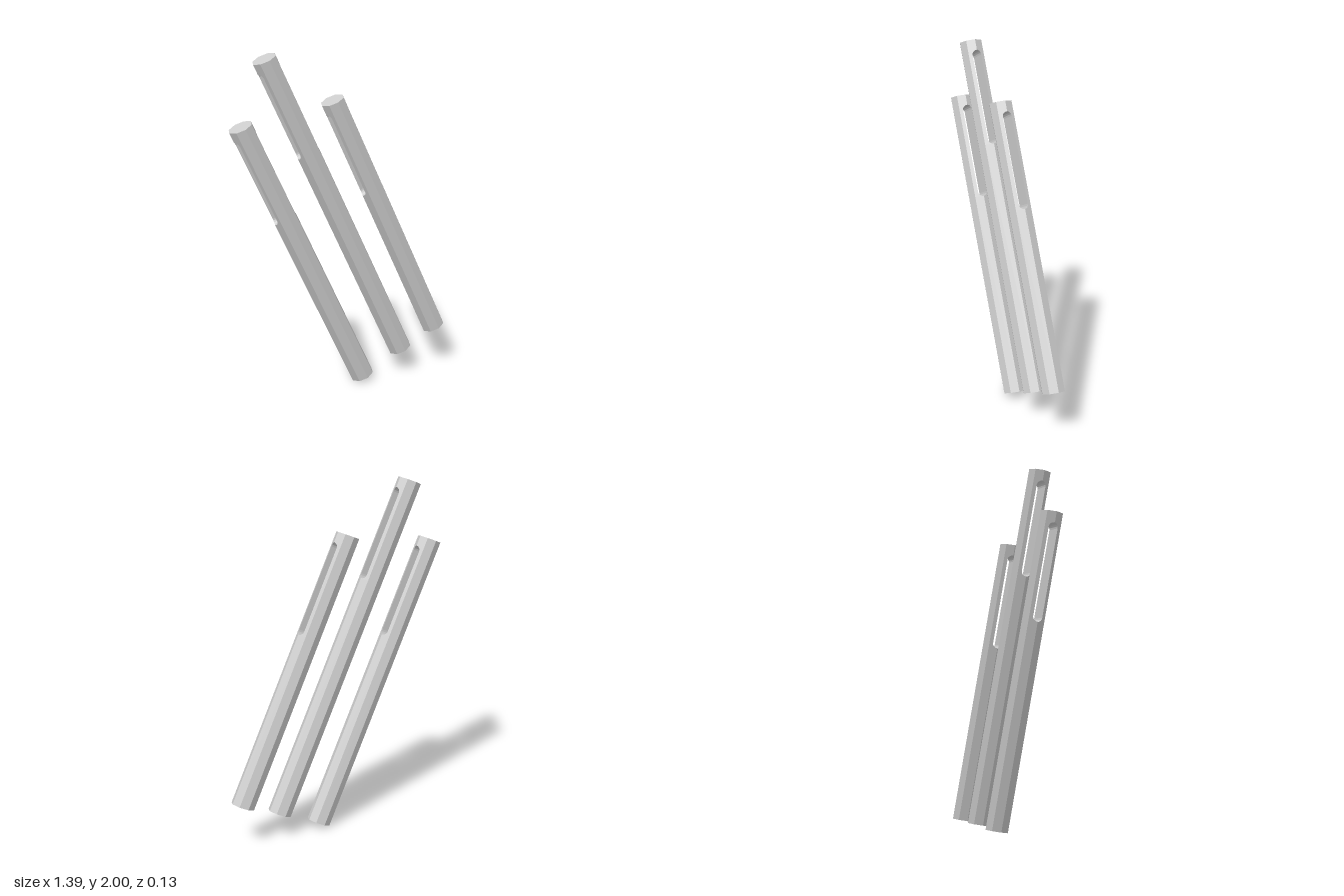
import * as THREE from 'three';

const RADIUS_Z = 0.066;                                // half depth of a pole
const ACROSS = new THREE.Vector3(0.064, 0.0265, 0);    // half width, tilted with the pole
const SLOT = { start: 0.055, end: 0.55, half: 0.027 }; // drop below the top, half width

// Half an octagon (z >= 0), cut off at z = w where the slot passes through
function halfSection(w) {
  const c = Math.SQRT1_2;
  const k = w / RADIUS_Z;
  const u = 1 - k * (1 - c) / c;
  return [[u, k], [c, c], [0, 1], [-c, c], [-u, k]];
}

// Stations down the pole as [drop, slot half width], with rounded slot ends
function stations(length) {
  const list = [[0, 0]];
  const steps = 4;
  const arc = (i) => {
    const a = (i / steps) * Math.PI / 2;
    return [SLOT.half * 0.9 * (1 - Math.cos(a)), SLOT.half * Math.sin(a)];
  };
  for (let i = 0; i <= steps; i++) {
    const [d, w] = arc(i);
    list.push([SLOT.start + d, w]);
  }
  for (let i = steps; i >= 0; i--) {
    const [d, w] = arc(i);
    list.push([SLOT.end - d, w]);
  }
  list.push([length, 0]);
  return list;
}

function poleGeometry(top, bottom) {
  const length = top.y - bottom.y;
  const rows = stations(length);
  const positions = [];

  for (const side of [1, -1]) {
    const tri = (a, b, c) => {
      for (const p of side > 0 ? [a, b, c] : [a, c, b]) positions.push(p.x, p.y, p.z);
    };
    const rings = rows.map(([drop, w]) => {
      const centre = top.clone().lerp(bottom, drop / length);
      return halfSection(w).map(([u, v]) => {
        const p = centre.clone().addScaledVector(ACROSS, u);
        p.z += side * v * RADIUS_Z;
        return p;
      });
    });

    // outer faces, plus the inner slot wall (j = 4)
    for (let i = 0; i < rings.length - 1; i++) {
      const hasSlot = rows[i][1] > 1e-6 || rows[i + 1][1] > 1e-6;
      for (let j = 0; j < (hasSlot ? 5 : 4); j++) {
        const n = (j + 1) % 5;
        const a = rings[i], b = rings[i + 1];
        tri(a[j], a[n], b[j]);
        tri(a[n], b[n], b[j]);
      }
    }

    // end caps
    const first = rings[0], last = rings[rings.length - 1];
    for (let j = 1; j < 4; j++) {
      tri(first[0], first[j + 1], first[j]);
      tri(last[0], last[j], last[j + 1]);
    }
  }

  const geometry = new THREE.BufferGeometry();
  geometry.setAttribute('position', new THREE.Float32BufferAttribute(positions, 3));
  geometry.computeVertexNormals();
  return geometry;
}

export function createModel() {
  const group = new THREE.Group();
  group.name = 'slottedPoles';
  const material = new THREE.MeshStandardMaterial({ color: 0xcccccc, flatShading: true });

  // name, top centre x y, bottom centre x y
  const poles = [
    ['rightPole', -0.632, 1.62, 0.13, 0.0265],
    ['middlePole', -0.484, 1.9735, 0.392, 0.143],
    ['leftPole', -0.069, 1.706, 0.629, 0.24],
  ];
  for (const [name, tx, ty, bx, by] of poles) {
    const geometry = poleGeometry(new THREE.Vector3(tx, ty, 0), new THREE.Vector3(bx, by, 0));
    const mesh = new THREE.Mesh(geometry, material);
    mesh.name = name;
    group.add(mesh);
  }
  return group;
}
